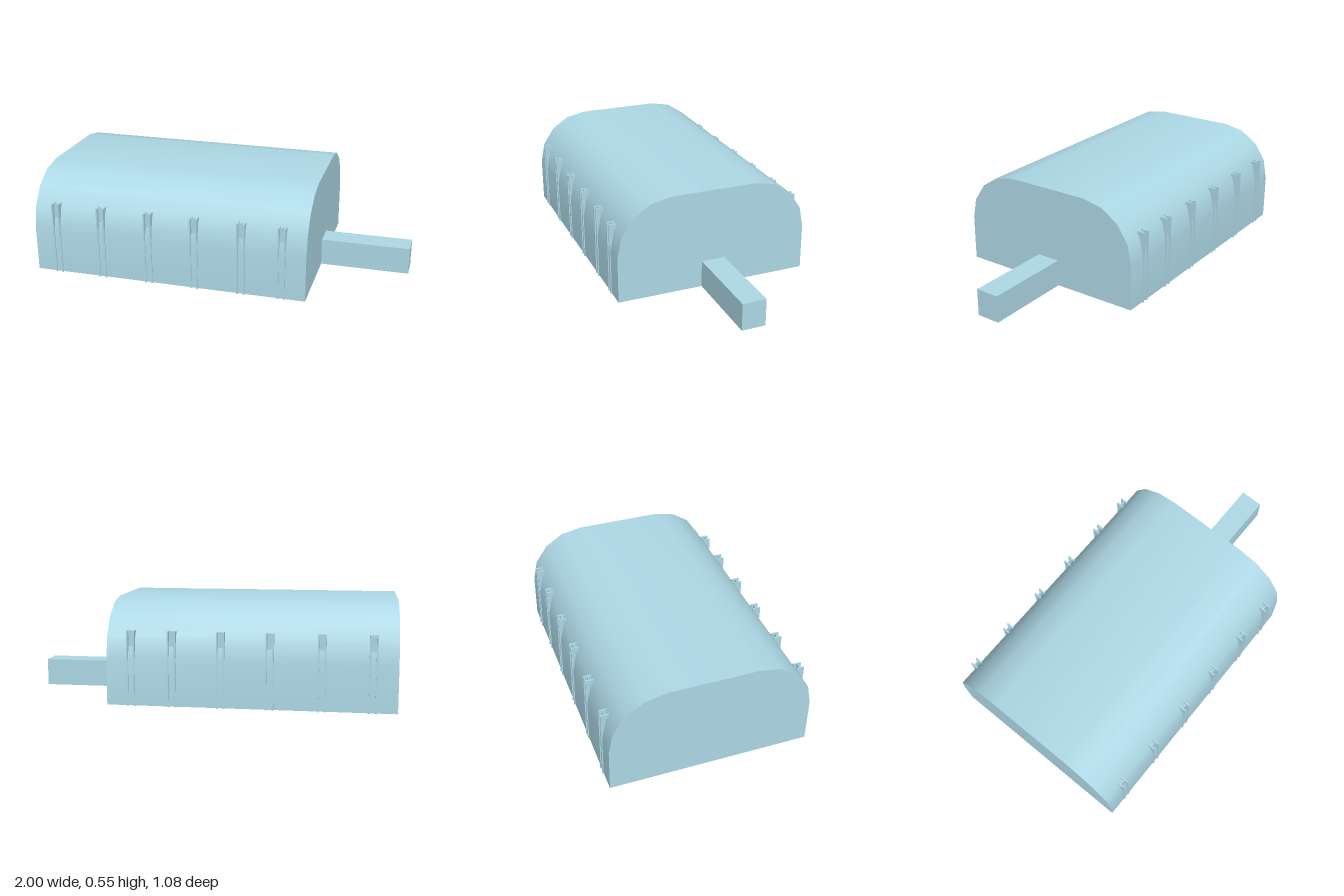
import * as THREE from 'three';
import { toCreasedNormals } from 'three/addons/utils/BufferGeometryUtils.js';

export function createModel() {
  const model = new THREE.Group();
  model.name = 'shelter';
  const paleBlue = new THREE.MeshStandardMaterial({ color: 0xadd8e6 });
  paleBlue.name = 'pale blue';

  function addBox(parent, name, size, position) {
    const mesh = new THREE.Mesh(new THREE.BoxGeometry(...size), paleBlue);
    mesh.name = name;
    mesh.position.set(...position);
    parent.add(mesh);
  }

  // Hall: straight walls, four-step rounded shoulders and a flat roof
  const base = 0.003, halfWidth = 0.535, radius = 0.3, spring = 0.252;
  const right = [new THREE.Vector2(halfWidth, base)];
  for (let i = 0; i <= 4; i++) {
    const a = (i / 4) * Math.PI / 2;
    right.push(new THREE.Vector2(
      halfWidth - radius + radius * Math.cos(a), spring + radius * Math.sin(a)));
  }
  const left = right.map(p => new THREE.Vector2(-p.x, p.y)).reverse();
  const hallGeometry = new THREE.ExtrudeGeometry(
    new THREE.Shape([...right, ...left]),
    { depth: 1.513, bevelEnabled: false });
  hallGeometry.rotateY(Math.PI / 2).translate(-1, 0, 0);
  const hall = new THREE.Mesh(toCreasedNormals(hallGeometry, 0.6), paleBlue);
  hall.name = 'vaultedHall';
  model.add(hall);

  // Entrance passage at the +x end
  addBox(model, 'entrancePassage', [0.487, 0.149, 0.131], [0.7565, 0.0775, 0]);

  // H-section columns set into both long walls
  const columnX = [-0.873, -0.614, -0.347, -0.091, 0.166, 0.383];
  for (const side of [1, -1]) {
    for (const x of columnX) {
      const column = new THREE.Group();
      column.name = side > 0 ? 'frontColumn' : 'backColumn';
      column.position.set(x, 0.2, side * 0.519);
      for (const s of [1, -1]) addBox(column, 'flange', [0.008, 0.4, 0.043], [s * 0.0175, 0, 0]);
      addBox(column, 'web', [0.027, 0.4, 0.006], [0, 0, 0]);
      model.add(column);
    }
  }
  return model;
}
